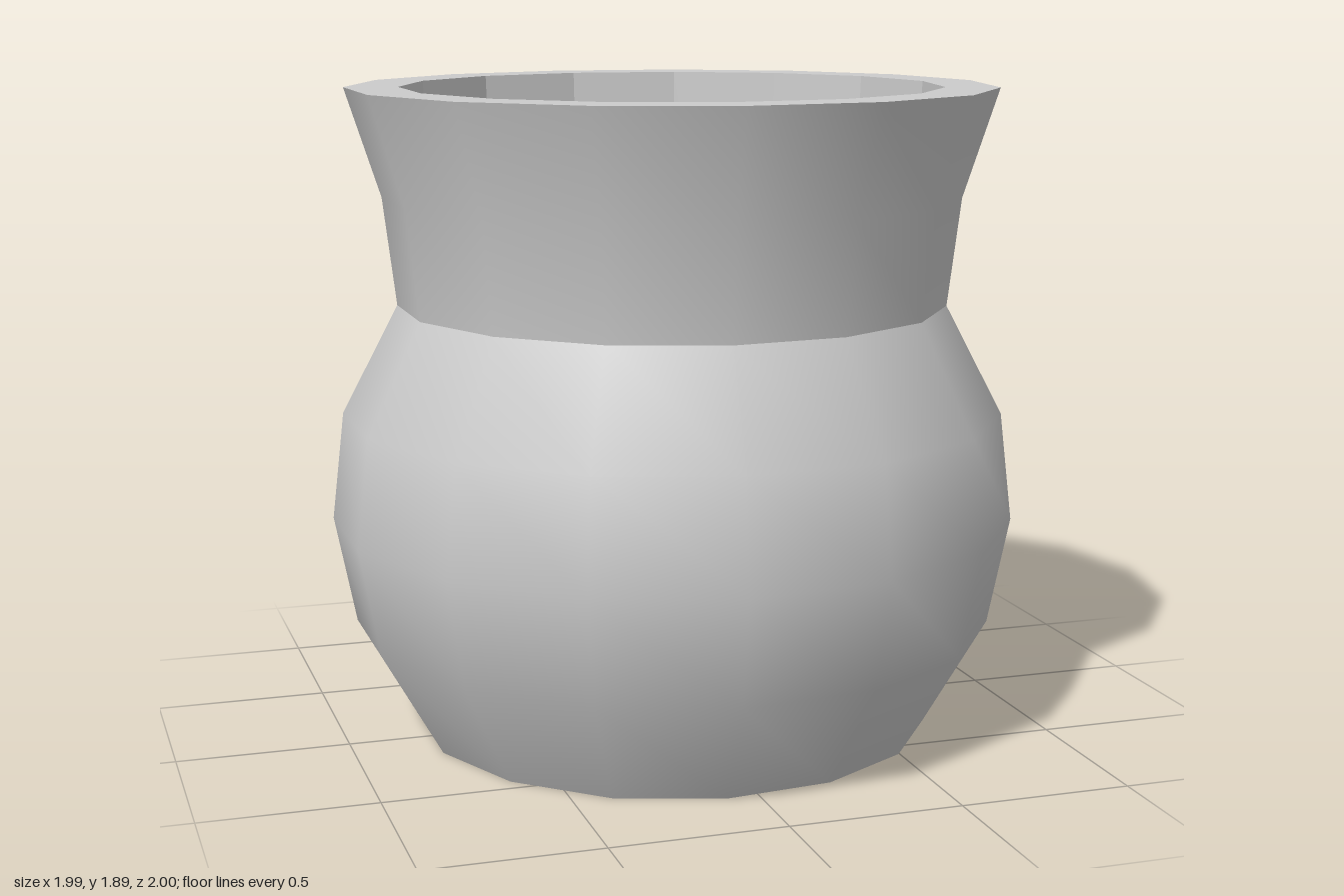
import * as THREE from 'three';

const SIDES = 15;
const HEIGHT = 1.895;
const FLOOR = 0.2;

const smooth = new THREE.MeshStandardMaterial({ color: 0xcccccc });
const faceted = new THREE.MeshStandardMaterial({ color: 0xcccccc, flatShading: true });

// Revolves [radius, height] pairs, with one corner of the polygon on +x
function turned(name, profile, material) {
  const points = profile.map(([r, y]) => new THREE.Vector2(r, y));
  const geometry = new THREE.LatheGeometry(points, SIDES, Math.PI / 2);
  const mesh = new THREE.Mesh(geometry, material);
  mesh.name = name;
  return mesh;
}

export function createModel() {
  const pot = new THREE.Group();
  pot.name = 'pot';

  pot.add(
    // Flat underside
    turned('base', [[0, 0], [0.76, 0]], faceted),
    // Rounded belly, up to the crease at the neck
    turned('belly', [[0.76, 0], [0.943, 0.316], [1.0055, 0.632], [0.969, 0.948], [0.804, 1.264]], smooth),
    // Flared collar
    turned('collar', [[0.804, 1.264], [0.842, 1.579], [0.944, HEIGHT]], smooth),
    // Flat lip around the opening
    turned('rim', [[0.944, HEIGHT], [0.788, HEIGHT]], faceted),
    // Tapered hollow and its floor
    turned('innerWall', [[0.788, HEIGHT], [0.704, FLOOR]], faceted),
    turned('innerFloor', [[0.704, FLOOR], [0, FLOOR]], faceted),
  );

  // An odd number of sides is wider towards +x, so centre its bounds
  pot.children.forEach((part) => { part.position.x = -0.011; });
  return pot;
}
